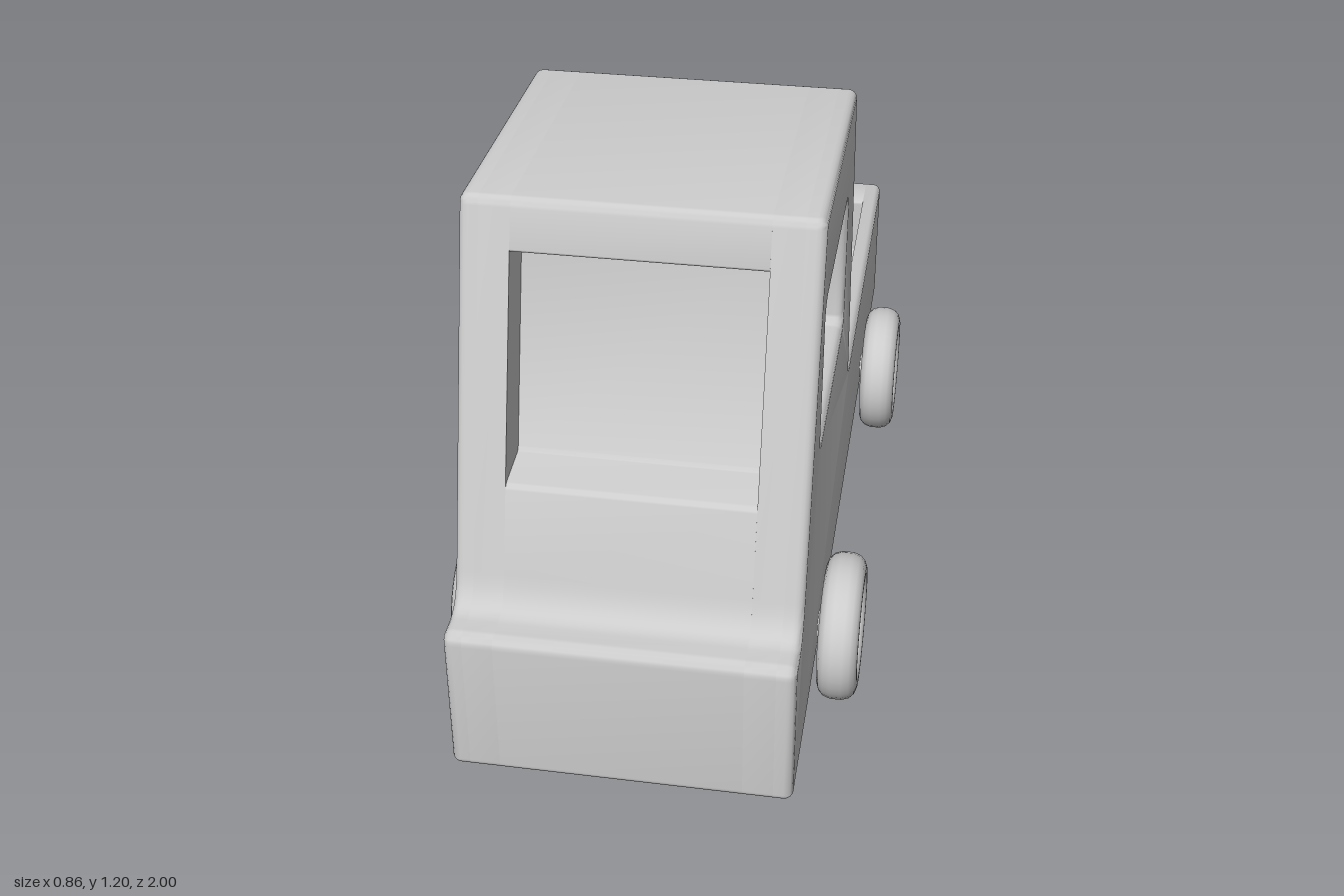
import * as THREE from 'three';
import { toCreasedNormals } from 'three/addons/utils/BufferGeometryUtils.js';

const material = new THREE.MeshStandardMaterial({ color: 0xcccccc });

// Closed outline in (z, y) whose corners [z, y, radius] are rounded.
function rounded(points, Type = THREE.Shape) {
  const path = new Type();
  points.forEach(([z, y, r], i) => {
    const corner = new THREE.Vector2(z, y);
    const toward = (p) => {
      const d = new THREE.Vector2(p[0], p[1]).sub(corner);
      return d.setLength(Math.min(r, d.length() * 0.45)).add(corner);
    };
    const a = toward(points[(i + points.length - 1) % points.length]);
    const b = toward(points[(i + 1) % points.length]);
    if (i === 0) path.moveTo(a.x, a.y);
    else path.lineTo(a.x, a.y);
    path.quadraticCurveTo(z, y, b.x, b.y);
  });
  path.closePath();
  return path;
}

// Extrude a side outline from x0 to x1; outer = +1 or -1 softens only that side's edges.
function slab(name, shape, x0, x1, outer = 0) {
  const bevel = outer ? 0.018 : 0;
  const depth = x1 - x0 - bevel;
  const geometry = new THREE.ExtrudeGeometry(shape, {
    depth, curveSegments: 6, bevelEnabled: !!outer, bevelSegments: 4,
    bevelSize: bevel, bevelThickness: bevel, bevelOffset: -bevel,
  });
  // Flatten the bevel on the inner side.
  const pos = geometry.attributes.position;
  for (let i = 0; i < pos.count; i++) {
    const t = pos.getZ(i);
    if (outer > 0) pos.setZ(i, Math.min(t, depth));
    if (outer < 0) pos.setZ(i, Math.max(t, 0));
  }
  geometry.rotateY(-Math.PI / 2);
  geometry.translate(outer < 0 ? x1 : x0 + depth + (outer ? bevel : 0), 0, 0);
  if (outer > 0) geometry.translate(-bevel, 0, 0);
  if (outer < 0) geometry.translate(0, 0, 0);
  const mesh = new THREE.Mesh(toCreasedNormals(geometry, 0.7), material);
  mesh.name = name;
  return mesh;
}

// Tyre and hub as one turned profile, symmetric about its middle plane.
function wheelGeometry() {
  const half = [
    [0, 0.032], [0.076, 0.032], [0.084, 0.026], [0.098, 0.024], [0.104, 0.035],
    [0.114, 0.042], [0.126, 0.042], [0.14, 0.037], [0.15, 0.027], [0.155, 0.012],
  ];
  const profile = [
    ...half.map(([r, h]) => [r, -h]),
    ...half.slice().reverse(),
  ].map(([r, h]) => new THREE.Vector2(r, h));
  const geometry = new THREE.LatheGeometry(profile, 40);
  geometry.rotateZ(-Math.PI / 2);
  return toCreasedNormals(geometry, 0.8);
}

export function createModel() {
  const truck = new THREE.Group();
  truck.name = 'pickupTruck';

  // Side outline pieces: front end, cab and load bed
  const front = [[-1, 0.1, 0.015], [1, 0.1, 0.015], [1, 0.425, 0.025], [0.905, 0.425, 0.07]];
  const windshield = [[0.838, 0.67, 0.015], [0.735, 0.68, 0.008], [0.62, 1.105, 0.008], [0.718, 1.105, 0.01]];
  const cab = [[0.69, 1.205, 0.02], [0.07, 1.19, 0.02], [-0.045, 0.435, 0.03]];
  const bed = [[-0.17, 0.435, 0.01], [-0.17, 0.28, 0.012], [-0.88, 0.28, 0.012], [-0.88, 0.435, 0.01]];
  const tail = [[-1, 0.435, 0.02]];
  const sideWindow = [[0.66, 0.705, 0.025], [0.645, 1.0, 0.025], [0.205, 0.995, 0.025], [0.2, 0.705, 0.025]];

  // Middle with the recessed windshield and bed
  truck.add(slab('cabCore', rounded([...front, ...windshield, ...cab, ...bed, ...tail]), -0.24, 0.24));

  // Windshield pillars, then side panels with recessed windows
  const pillar = rounded([...front, ...cab, ...bed, ...tail]);
  const panel = rounded([...front, ...cab, ...tail]);
  panel.holes.push(rounded(sideWindow, THREE.Path));
  truck.add(slab('leftPillar', pillar, 0.24, 0.3));
  truck.add(slab('rightPillar', pillar, -0.3, -0.24));
  // The extrusion runs toward -x, so the left panel softens its start
  truck.add(slab('leftSidePanel', panel, 0.3, 0.338, 1));
  truck.add(slab('rightSidePanel', panel, -0.338, -0.3, -1));

  // Wheels and axles
  const wheel = wheelGeometry();
  for (const [end, z] of [['front', 0.532], ['rear', -0.498]]) {
    for (const [side, x] of [['Left', 0.388], ['Right', -0.388]]) {
      const mesh = new THREE.Mesh(wheel, material);
      mesh.name = end + side + 'Wheel';
      mesh.position.set(x, 0.158, z);
      truck.add(mesh);
    }
    const axle = new THREE.Mesh(new THREE.CylinderGeometry(0.03, 0.03, 0.76, 16), material);
    axle.name = end + 'Axle';
    axle.rotation.z = Math.PI / 2;
    axle.position.set(0, 0.158, z);
    truck.add(axle);
  }
  return truck;
}
